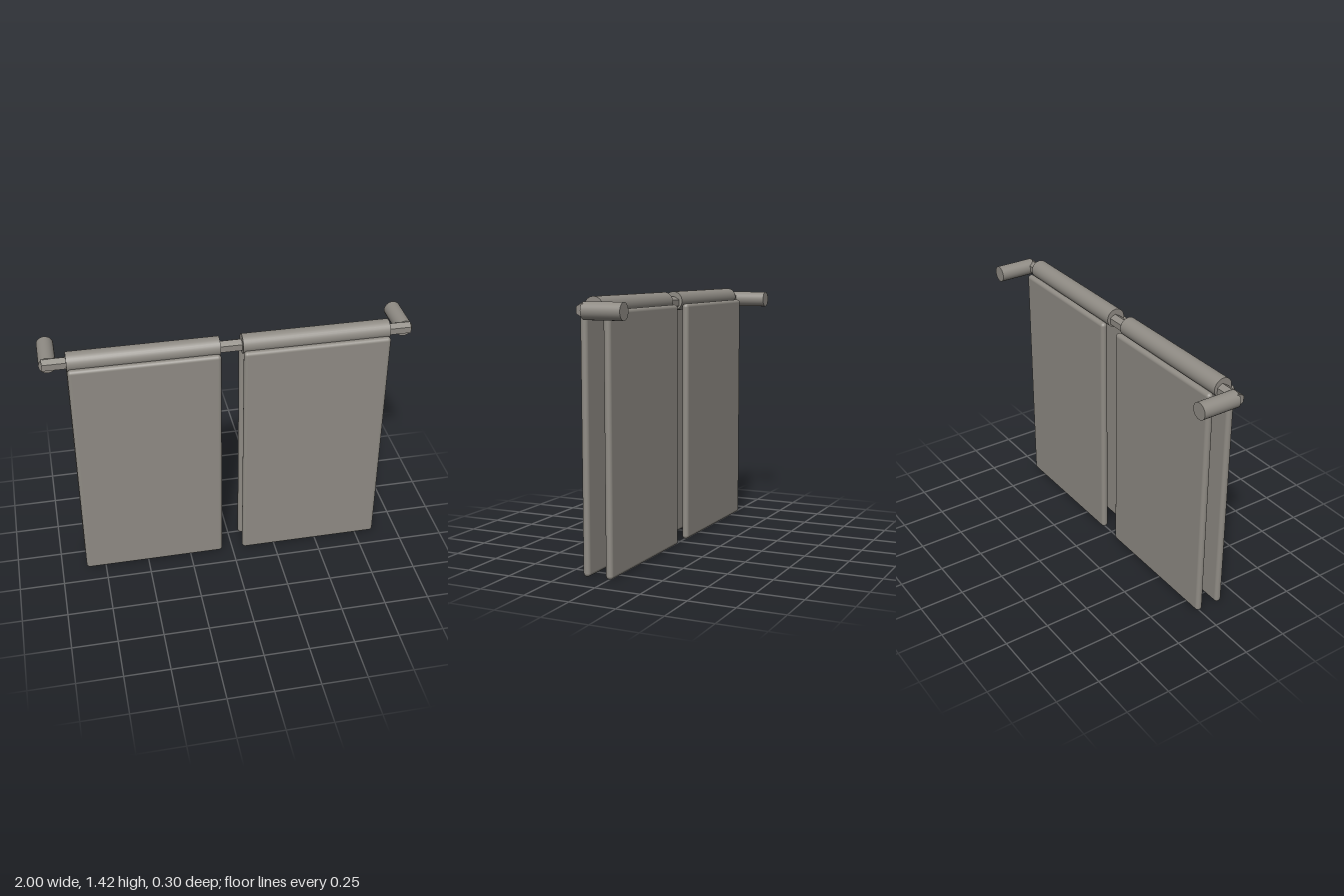
import * as THREE from 'three';
import { RoundedBoxGeometry } from 'three/addons/geometries/RoundedBoxGeometry.js';

export function createModel() {
  const model = new THREE.Group();
  model.name = 'towelRail';
  const stone = new THREE.MeshStandardMaterial({ color: 0x8f8b84 });
  stone.name = 'warmGrey';

  const add = (parent, name, geometry, x, y, z) => {
    const mesh = new THREE.Mesh(geometry, stone);
    mesh.name = name;
    mesh.position.set(x, y, z);
    parent.add(mesh);
  };

  // Six-sided rail with crisp faces and an edge pointing up
  const rail = new THREE.CylinderGeometry(0.035, 0.035, 1.97, 6)
    .rotateZ(Math.PI / 2).rotateX(Math.PI / 2).toNonIndexed();
  rail.computeVertexNormals();
  add(model, 'rail', rail, 0, 1.36, 0.063);

  // Shared shapes for both sides
  const bracket = new THREE.CylinderGeometry(0.045, 0.045, 0.215, 32).rotateX(Math.PI / 2);
  const fold = new THREE.CylinderGeometry(0.053, 0.053, 0.8, 32).rotateZ(Math.PI / 2);
  const panel = new RoundedBoxGeometry(0.8, 1.355, 0.04, 4, 0.0195);

  for (const [side, s] of [['left', 1], ['right', -1]]) {
    // Wall bracket
    add(model, side + 'Bracket', bracket, s * 0.955, 1.356, -0.043);

    // Towel folded over the rail
    const towel = new THREE.Group();
    towel.name = side + 'Towel';
    towel.position.x = s * 0.46;
    add(towel, 'fold', fold, 0, 1.37, 0.068);
    add(towel, 'frontPanel', panel, 0, 0.6775, 0.13);
    add(towel, 'backPanel', panel, 0, 0.6775, 0);
    model.add(towel);
  }
  return model;
}
